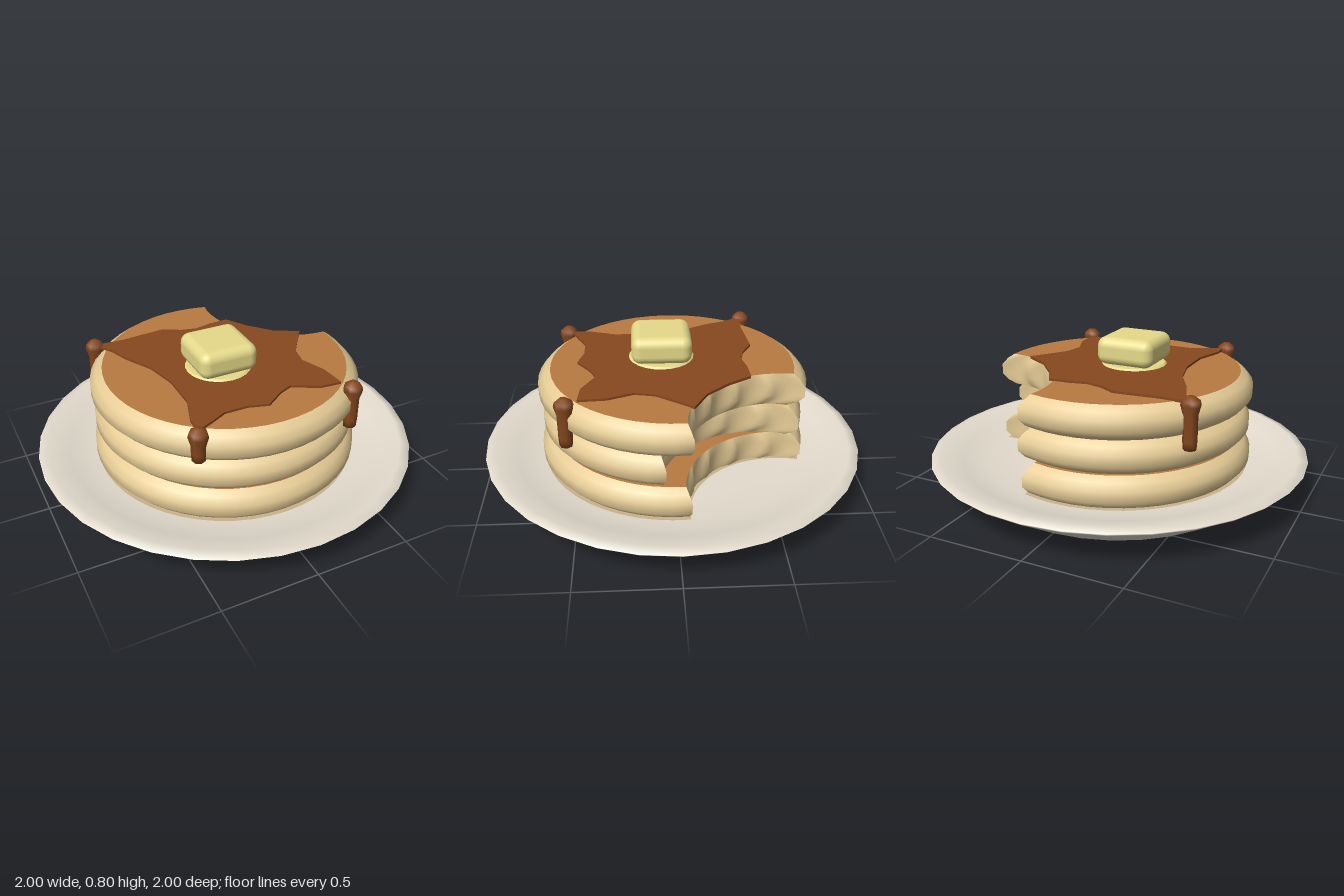
import * as THREE from 'three';
import { RoundedBoxGeometry } from 'three/addons/geometries/RoundedBoxGeometry.js';

const mat = (name, color, side = THREE.FrontSide) => {
  const m = new THREE.MeshStandardMaterial({ color, side });
  m.name = name;
  return m;
};

// Outline of a bitten disc, inset by d: the round edge, then the bite edge.
function outline(p, d, ripple = 0) {
  const D = Math.hypot(p.bx, p.bz), phi = Math.atan2(p.bz, p.bx);
  const r = p.r - d, b = p.b + d * 0.4;
  const alpha = Math.acos((D * D + r * r - b * b) / (2 * D * r));
  const beta = Math.acos((D * D + b * b - r * r) / (2 * D * b));
  const outer = [], bite = [];
  for (let i = 0; i <= 40; i++) {
    const a = phi + alpha + (i / 40) * 2 * (Math.PI - alpha);
    outer.push([r * Math.cos(a), r * Math.sin(a)]);
  }
  for (let i = 0; i <= 30; i++) {
    const t = i / 30, a = phi + Math.PI + beta * (1 - 2 * t);
    const q = b + ripple * Math.abs(Math.sin(t * Math.PI * 5));
    bite.push([p.bx + q * Math.cos(a), p.bz + q * Math.sin(a)]);
  }
  return { outer, bite };
}

// Smooth wall through stacked open rings of [x, z] points.
function wall(rings, ys) {
  const pos = [], idx = [], n = rings[0].length;
  rings.forEach((ring, j) => ring.forEach(([x, z]) => pos.push(x, ys[j], z)));
  for (let j = 0; j < rings.length - 1; j++) {
    for (let i = 0; i < n - 1; i++) {
      const a = j * n + i, u = a + n;
      idx.push(a, u, a + 1, a + 1, u, u + 1);
    }
  }
  const g = new THREE.BufferGeometry();
  g.setAttribute('position', new THREE.Float32BufferAttribute(pos, 3));
  g.setIndex(idx);
  g.computeVertexNormals();
  return g;
}

// Flat bitten disc facing up (s = 1) or down (s = -1).
function cap(p, d, y, s) {
  const { outer, bite } = outline(p, d);
  const pts = [...outer, ...bite.slice(1, -1)].map(([x, z]) => new THREE.Vector2(x, -s * z));
  return new THREE.ShapeGeometry(new THREE.Shape(pts)).rotateX(-s * Math.PI / 2).translate(0, y, 0);
}

export function createModel() {
  const model = new THREE.Group();
  const china = mat('china', 0xe4dcce);
  const batter = mat('batter', 0xe6cc96, THREE.DoubleSide);
  const browned = mat('browned top', 0xb87a42);
  const syrup = mat('syrup', 0x86481f);
  const butter = mat('butter', 0xe6da8a);
  const crumb = mat('crumb shadow', 0xc8b48c);
  const add = (name, geo, material, parent = model) => {
    const m = new THREE.Mesh(geo, material);
    m.name = name;
    parent.add(m);
    return m;
  };
  const v2 = list => list.map(([x, y]) => new THREE.Vector2(x, y));

  // Plate
  add('plate', new THREE.LatheGeometry(v2([[0.72, 0], [0.85, 0.085], [0.985, 0.17], [1, 0.185],
    [0.95, 0.2], [0.84, 0.165], [0.7, 0.13], [0.5, 0.125], [0, 0.125]]), 32), china);
  add('plateBase', new THREE.CircleGeometry(0.72, 32).rotateX(Math.PI / 2), china);

  // Pancakes, each with its own bite
  const profile = [[0.07, 0], [0.03, 0.14], [0, 0.34], [0, 0.66], [0.03, 0.86], [0.065, 1]];
  const cakes = [
    { x: 0, y: 0.115, r: 0.695, bx: 0.65, bz: -0.53, b: 0.47 },
    { x: -0.005, y: 0.288, r: 0.68, bx: 0.65, bz: -0.41, b: 0.47 },
    { x: 0, y: 0.461, r: 0.695, bx: 0.64, bz: -0.52, b: 0.455 },
  ];
  cakes.forEach((p, k) => {
    const g = new THREE.Group();
    g.name = 'pancake' + (k + 1);
    g.position.x = p.x;
    const h = 0.173;
    const ys = profile.map(([, f]) => p.y + f * h);
    const rings = profile.map(([d, f]) => outline(p, d, 0.03 * Math.sin(Math.PI * f)));
    add('edge', wall(rings.map(r => r.outer), ys), batter, g);
    add('bite', wall(rings.map(r => r.bite), ys), batter, g);
    add('underside', cap(p, 0.07, p.y, -1), batter, g);
    add('top', cap(p, 0.065, p.y + h, 1), browned, g);
    model.add(g);
  });
  add('crumbRing', cap(cakes[0], 0.01, 0.136, 1), crumb);

  // Syrup puddle cut off along the bite
  const puddle = v2([[-0.56, -0.42], [-0.4, -0.41], [-0.3, -0.42], [-0.17, -0.43], [-0.08, -0.38],
    [0, -0.36], [0.1, -0.38], [0.2, -0.385], [0.27, -0.27], [0.37, -0.155], [0.5, -0.08], [0.44, 0],
    [0.37, 0.1], [0.35, 0.2], [0.4, 0.33], [0.41, 0.47], [0.3, 0.46], [0.17, 0.39], [0.1, 0.42],
    [0, 0.49], [-0.1, 0.46], [-0.22, 0.46], [-0.3, 0.5], [-0.39, 0.54], [-0.39, 0.45], [-0.34, 0.3],
    [-0.34, 0.1], [-0.38, -0.07], [-0.46, -0.22], [-0.5, -0.33]]);
  puddle.forEach(p => { p.y = -p.y; });
  add('syrupPuddle', new THREE.ExtrudeGeometry(new THREE.Shape(puddle),
    { depth: 0.014, bevelEnabled: false }).rotateX(-Math.PI / 2).translate(0, 0.632, 0), syrup);

  // Syrup drips: a bead on the rim with a tail running down
  [[-0.56, -0.425, 0.41], [-0.4, 0.56, 0.49], [0.44, 0.53, 0.41]].forEach(([x, z, low], i) => {
    const drip = add('syrupDrip' + (i + 1), new THREE.LatheGeometry(v2([[0, low], [0.033, low + 0.008],
      [0.036, low + 0.05], [0.036, 0.58], [0.05, 0.63], [0.044, 0.652], [0.02, 0.672], [0, 0.674]]), 7), syrup);
    drip.position.set(x, 0, z);
  });

  // Butter pat on a melted layer
  add('butter', new RoundedBoxGeometry(0.31, 0.145, 0.31, 3, 0.05).translate(-0.06, 0.727, 0.055), butter);
  add('meltedButter', new THREE.CylinderGeometry(0.16, 0.17, 0.008, 24).translate(-0.06, 0.65, 0.055), butter);
  return model;
}
